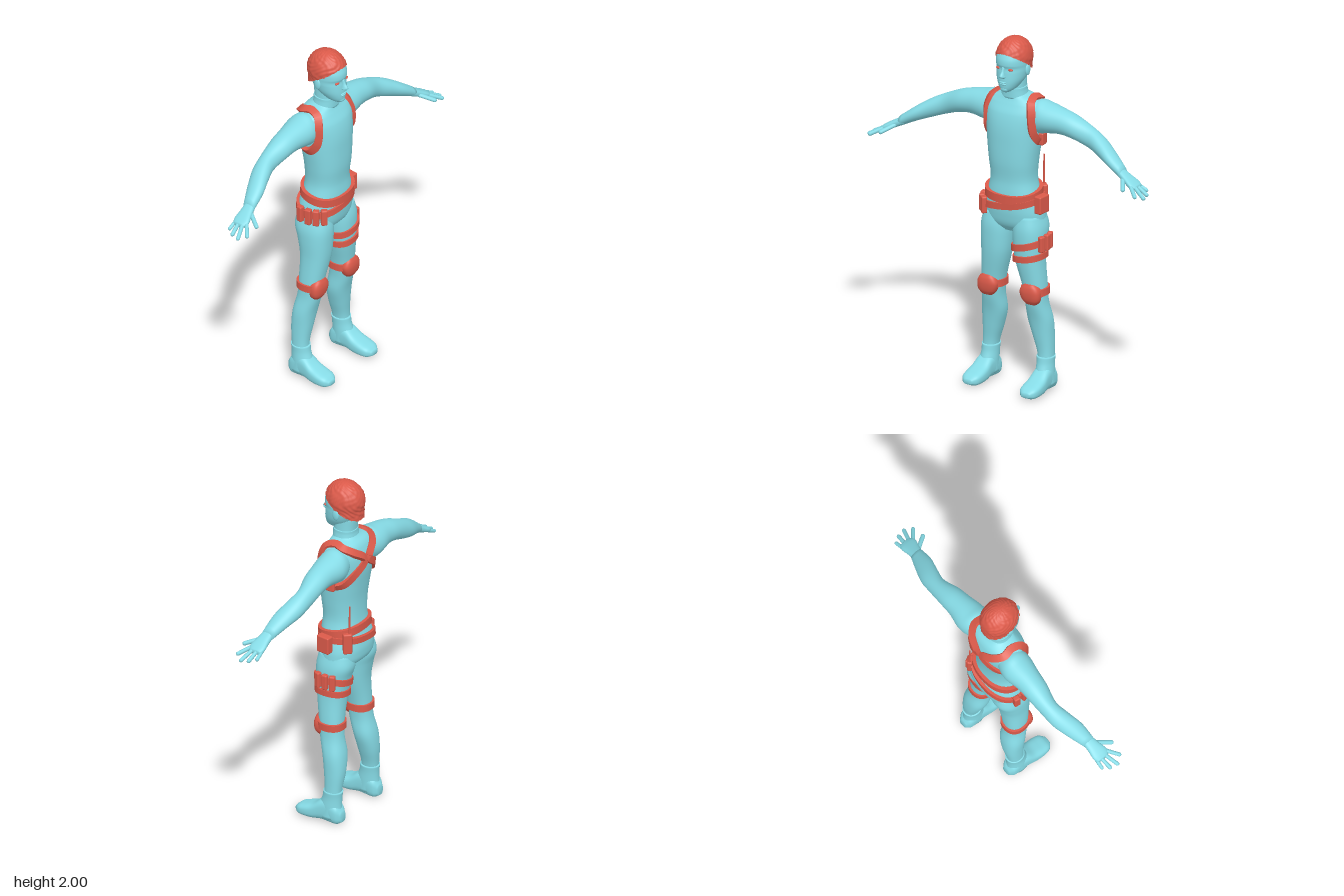
import * as THREE from 'three';
import { toCreasedNormals } from 'three/addons/utils/BufferGeometryUtils.js';
import { RoundedBoxGeometry } from 'three/addons/geometries/RoundedBoxGeometry.js';

const suit = new THREE.MeshStandardMaterial({ color: 0x86dbe6 });
const gear = new THREE.MeshStandardMaterial({ color: 0xdb5a4a });
const rad = THREE.MathUtils.degToRad;
const V = (x, y, z) => new THREE.Vector3(x, y, z);

// Skin a list of rings (arrays of Vector3), either as a loop or with closed ends
function skin(rings, loop) {
  const n = rings[0].length, m = rings.length, pts = rings.flat(), index = [];
  for (let i = 0; i < (loop ? m : m - 1); i++) {
    for (let j = 0; j < n; j++) {
      const k = (j + 1) % n, u = ((i + 1) % m) * n;
      const a = i * n + j, b = i * n + k, c = u + k, d = u + j;
      index.push(a, b, c, a, c, d);
    }
  }
  if (!loop) {
    [0, m - 1].forEach((r) => {
      const c = V(0, 0, 0);
      rings[r].forEach((p) => c.addScaledVector(p, 1 / n));
      const id = pts.push(c) - 1;
      for (let j = 0; j < n; j++) {
        const a = r * n + j, b = r * n + (j + 1) % n;
        index.push(id, ...(r ? [a, b] : [b, a]));
      }
    });
  }
  const g = new THREE.BufferGeometry().setFromPoints(pts);
  g.setIndex(index);
  g.computeVertexNormals();
  return g;
}

// Smoothly interpolated cross-section [t, aMin, aMax, bMin, bMax]
function section(secs, t) {
  let i = 0;
  while (i < secs.length - 2 && t > secs[i + 1][0]) i++;
  const slope = (k, c) => {
    const p = secs[Math.max(k - 1, 0)], q = secs[Math.min(k + 1, secs.length - 1)];
    return (q[c] - p[c]) / (q[0] - p[0]);
  };
  const p = secs[i], q = secs[i + 1], h = q[0] - p[0];
  const s = THREE.MathUtils.clamp((t - p[0]) / h, 0, 1), s2 = s * s, s3 = s2 * s;
  return p.map((v, c) => c === 0 ? t :
    v * (2 * s3 - 3 * s2 + 1) + q[c] * (3 * s2 - 2 * s3) +
    h * (slope(i, c) * (s3 - 2 * s2 + s) + slope(i + 1, c) * (s3 - s2)));
}

// Point on a cross-section; axis 0/1/2 is the direction of t
function onSection(secs, t, ang, axis = 1, pow = 2.3, off = 0) {
  const [, a0, a1, b0, b1] = section(secs, t);
  const f = (v) => Math.sign(v) * Math.abs(v) ** (2 / pow);
  const p = V(0, 0, 0);
  p.setComponent(axis, t);
  p.setComponent((axis + 1) % 3, (b0 + b1) / 2 + ((b1 - b0) / 2 + off) * f(Math.cos(ang)));
  p.setComponent((axis + 2) % 3, (a0 + a1) / 2 + ((a1 - a0) / 2 + off) * f(Math.sin(ang)));
  return p;
}

function loft(secs, axis = 1, pow = 2.3, steps = 5, sides = 36) {
  const rings = [];
  for (let i = 0; i < secs.length - 1; i++) {
    for (let k = 0; k < steps + (i === secs.length - 2 ? 1 : 0); k++) {
      const t = secs[i][0] + (secs[i + 1][0] - secs[i][0]) * k / steps;
      rings.push(Array.from({ length: sides }, (_, j) => onSection(secs, t, j / sides * Math.PI * 2, axis, pow)));
    }
  }
  return skin(rings);
}

// Flat closed strap following points; outward(p) gives the direction it faces
function strap(points, width, thick, outward) {
  const curve = new THREE.CatmullRomCurve3(points, true), rings = [], N = 96;
  for (let i = 0; i < N; i++) {
    const p = curve.getPoint(i / N), T = curve.getTangent(i / N), O = outward(p);
    O.addScaledVector(T, -O.dot(T)).normalize();
    const W = T.clone().cross(O);
    rings.push([[1, -1], [1, 1], [-1, 1], [-1, -1]].map(([o, w]) =>
      p.clone().addScaledVector(O, o > 0 ? thick : -0.012).addScaledVector(W, w * width / 2)));
  }
  return toCreasedNormals(skin(rings, true), 0.7);
}

// Horizontal band around a vertical body part, with height given per angle
function band(secs, height, width, thick) {
  const pts = [];
  for (let d = 0; d < 360; d += 15) pts.push(onSection(secs, height(rad(d)), rad(d)));
  const c = pts.reduce((s, p) => s.addScaledVector(p, 1 / pts.length), V(0, 0, 0));
  return strap(pts, width, thick, (p) => V(p.x - c.x, 0, p.z - c.z));
}

const ball = (x, y, z, rx, ry, rz) => new THREE.SphereGeometry(1, 24, 16).scale(rx, ry, rz).translate(x, y, z);

function finger(a, b, r) {
  const d = b.clone().sub(a), g = new THREE.CapsuleGeometry(r, d.length() - r, 4, 10);
  g.applyQuaternion(new THREE.Quaternion().setFromUnitVectors(V(0, 1, 0), d.normalize()));
  return g.translate((a.x + b.x) / 2, (a.y + b.y) / 2, (a.z + b.z) / 2);
}

function mirror(geo) {
  const g = geo.clone().scale(-1, 1, 1);
  const id = g.index ? Array.from(g.index.array) : Array.from({ length: g.attributes.position.count }, (_, i) => i);
  for (let i = 0; i < id.length; i += 3) [id[i + 1], id[i + 2]] = [id[i + 2], id[i + 1]];
  g.setIndex(id);
  return g;
}

const sym = (rows) => rows.map(([y, hx, zf, zb]) => [y, -hx, hx, zb, zf]);
const offset = (rows) => rows.map(([y, c, hx, zf, zb]) => [y, c - hx, c + hx, zb, zf]);

const TORSO = sym([[0.9, 0.09, 0.04, -0.07], [0.94, 0.165, 0.075, -0.13], [1, 0.175, 0.09, -0.145],
  [1.06, 0.165, 0.095, -0.14], [1.12, 0.147, 0.095, -0.127], [1.2, 0.13, 0.09, -0.118], [1.3, 0.138, 0.1, -0.12],
  [1.4, 0.15, 0.102, -0.133], [1.5, 0.16, 0.1, -0.148], [1.58, 0.17, 0.085, -0.148], [1.63, 0.165, 0.06, -0.133],
  [1.655, 0.13, 0.047, -0.118], [1.675, 0.08, 0.04, -0.095], [1.69, 0.06, 0.035, -0.08]]);
const LEG = offset([[0.1, 0.18, 0.043, 0, -0.1], [0.2, 0.175, 0.043, -0.01, -0.105], [0.3, 0.16, 0.057, 0, -0.115],
  [0.4, 0.146, 0.069, 0.015, -0.11], [0.5, 0.138, 0.06, 0.04, -0.09], [0.6, 0.13, 0.065, 0.052, -0.085],
  [0.75, 0.107, 0.08, 0.075, -0.09], [0.86, 0.102, 0.088, 0.083, -0.11], [0.93, 0.1, 0.088, 0.083, -0.13],
  [1, 0.095, 0.075, 0.07, -0.12]]);
const HEAD = sym([[1.708, 0.02, 0.085, 0.02], [1.725, 0.042, 0.096, -0.02], [1.75, 0.06, 0.1, -0.05],
  [1.78, 0.075, 0.1, -0.08], [1.82, 0.084, 0.097, -0.105], [1.845, 0.086, 0.094, -0.112], [1.865, 0.087, 0.1, -0.115],
  [1.9, 0.086, 0.095, -0.115], [1.95, 0.07, 0.065, -0.09], [1.98, 0.03, 0.02, -0.04]]);
const NECK = sym([[1.63, 0.07, 0.045, -0.09], [1.7, 0.062, 0.042, -0.08], [1.8, 0.06, 0.045, -0.09]]);
const COLLAR = sym([[1.66, 0.075, 0.046, -0.09], [1.7, 0.067, 0.046, -0.084], [1.72, 0.066, 0.046, -0.084]]);
const ARM = [[0.08, -0.11, 0.02, 1.5, 1.63], [0.15, -0.135, 0.035, 1.465, 1.655], [0.2, -0.14, 0.035, 1.475, 1.645],
  [0.28, -0.125, 0.02, 1.485, 1.628], [0.36, -0.12, 0.01, 1.475, 1.605], [0.46, -0.11, -0.01, 1.44, 1.56],
  [0.54, -0.1, 0.01, 1.41, 1.52], [0.62, -0.07, 0.035, 1.38, 1.468], [0.71, -0.028, 0.042, 1.338, 1.4]];
// Loft rows run [x, zMin, zMax, yMin, yMax]; swap into [t, a(z), b(y)] is already met
const PALM = [[0.68, -0.025, 0.035, 1.355, 1.405], [0.74, -0.024, 0.052, 1.325, 1.372],
  [0.79, -0.027, 0.066, 1.305, 1.343], [0.815, -0.015, 0.05, 1.303, 1.325]];
const SHAFT = offset([[0.03, 0.18, 0.05, 0.03, -0.115], [0.1, 0.178, 0.049, 0.02, -0.108],
  [0.15, 0.176, 0.047, 0.004, -0.108], [0.19, 0.175, 0.049, -0.002, -0.112]]);
// Foot rows run [z, yMin, yMax, xMin, xMax]
const FOOT = [[-0.122, 0.015, 0.07, 0.155, 0.2], [-0.095, 0, 0.11, 0.134, 0.222], [-0.04, 0.002, 0.14, 0.13, 0.228],
  [0, 0.006, 0.128, 0.129, 0.232], [0.05, 0, 0.093, 0.126, 0.238], [0.1, 0, 0.074, 0.126, 0.24],
  [0.14, 0.003, 0.06, 0.135, 0.232], [0.165, 0.015, 0.04, 0.16, 0.208]];

// Lumpy short hair with a hairline dropping from forehead to nape
function hairGeometry() {
  const g = new THREE.SphereGeometry(1, 80, 48), p = g.attributes.position;
  for (let i = 0; i < p.count; i++) {
    const v = Math.acos(THREE.MathUtils.clamp(p.getY(i), -1, 1)) / Math.PI;
    const az = Math.atan2(p.getX(i), p.getZ(i)), polar = v * (1.9 - 0.69 * Math.cos(az));
    const r = 1 + 0.025 * Math.sin(13 * az + 3 * Math.sin(polar * 5)) * Math.sin(15 * polar + 2 * Math.sin(4 * az)) * Math.sin(Math.min(polar, 1.57));
    const s = Math.sin(Math.min(polar, 1.9)) * r;
    p.setXYZ(i, 0.096 * s * Math.sin(az), 1.885 + 0.112 * Math.cos(polar) * r, -0.014 + 0.114 * s * Math.cos(az));
  }
  g.computeVertexNormals();
  return g;
}

export function createModel() {
  const model = new THREE.Group(), figure = new THREE.Group();
  figure.name = 'figure';
  figure.rotation.y = Math.PI / 2; // the person looks along +x
  model.add(figure);
  const add = (name, geo, mat = suit) => {
    const m = new THREE.Mesh(geo, mat);
    m.name = name;
    figure.add(m);
    return m;
  };
  const pair = (name, geo, mat) => { add(name, geo, mat); add(name, mirror(geo), mat); };
  // Box-shaped gear sitting on a body part at a given angle
  const pouch = (name, secs, deg, y, w, h, d) => {
    const m = add(name, new RoundedBoxGeometry(w, h, d, 2, 0.008), gear);
    m.position.copy(onSection(secs, y, rad(deg), 1, 2.3, d * 0.45));
    m.rotation.y = rad(deg);
    return m;
  };

  // Body
  add('torso', loft(TORSO));
  add('neck', loft(NECK));
  add('collar', loft(COLLAR));
  pair('leg', loft(LEG));
  pair('arm', loft(ARM, 0, 2));
  pair('bootShaft', loft(SHAFT, 1, 2));
  pair('bootFoot', loft(FOOT, 2, 2.8));

  // Hands
  pair('palm', loft(PALM, 0, 2.4));
  [[0.725, 1.35, 0.035, 0.777, 1.318, 0.115, 0.012], [0.785, 1.325, 0.052, 0.85, 1.29, 0.107, 0.011],
    [0.795, 1.322, 0.035, 0.88, 1.275, 0.066, 0.011], [0.795, 1.32, 0.01, 0.872, 1.28, 0.021, 0.011],
    [0.785, 1.32, -0.014, 0.847, 1.29, -0.017, 0.01]]
    .forEach(([a, b, c, d, e, f, r]) => pair('finger', finger(V(a, b, c), V(d, e, f), r)));

  // Head and face
  add('head', loft(HEAD, 1, 2.1));
  add('nose', loft(sym([[1.79, 0.008, 0.1, 0.08], [1.8, 0.017, 0.121, 0.08], [1.81, 0.014, 0.126, 0.08],
    [1.83, 0.009, 0.111, 0.08], [1.855, 0.008, 0.1, 0.08]]), 1, 2, 4, 16));
  add('upperLip', ball(0, 1.768, 0.098, 0.024, 0.005, 0.008));
  add('lowerLip', ball(0, 1.758, 0.097, 0.02, 0.006, 0.008));
  add('chin', ball(0, 1.727, 0.085, 0.024, 0.016, 0.014));
  pair('eye', ball(0.037, 1.842, 0.083, 0.016, 0.007, 0.009), gear);
  pair('ear', ball(0.087, 1.825, -0.012, 0.01, 0.032, 0.02));
  add('hair', hairGeometry(), gear).material.side = THREE.DoubleSide;

  // Shoulder harness meeting between the shoulder blades
  const loop = [[90, 1.662], [55, 1.645], [52, 1.6], [58, 1.54], [68, 1.48], [90, 1.43], [120, 1.44], [150, 1.5],
    [176, 1.565], [152, 1.625], [120, 1.652]].map(([d, y]) => onSection(TORSO, y, rad(d)));
  pair('harnessStrap', strap(loop, 0.042, 0.014, (p) => p.clone().sub(V(0.04, 1.5, -0.03))), gear);
  pouch('harnessPouch', TORSO, 95, 1.44, 0.05, 0.07, 0.03);

  // Belts, hip pouches, radio
  add('waistBelt', band(TORSO, (a) => 1.122 - 0.022 * Math.cos(a), 0.045, 0.015), gear);
  add('slungBelt', band(TORSO, (a) => 1.065 + 0.03 * Math.sin(a) - 0.008 * Math.cos(a), 0.036, 0.013), gear);
  [-45, -63, -81, -99].forEach((d) => pouch('hipPouch', TORSO, d, 1.03, 0.036, 0.095, 0.032));
  pouch('sidePouch', TORSO, 85, 1.075, 0.08, 0.1, 0.045);
  const radio = pouch('radio', TORSO, 135, 1.085, 0.05, 0.12, 0.03);
  const antenna = new THREE.Mesh(new THREE.CylinderGeometry(0.004, 0.006, 0.17, 10), gear);
  antenna.name = 'radioAntenna';
  antenna.position.set(0.012, 0.14, 0);
  radio.add(antenna);

  // Thigh straps and pouches on one leg only
  add('thighStrap', band(LEG, (a) => 0.835 + 0.025 * Math.sin(a), 0.036, 0.011), gear);
  add('thighStrap', band(LEG, (a) => 0.765 + 0.015 * Math.sin(a), 0.034, 0.011), gear);
  [72, 93, 114].forEach((d) => pouch('thighPouch', LEG, d, 0.855, 0.034, 0.09, 0.03));

  // Knee pads
  pair('kneeStrap', band(LEG, () => 0.572, 0.04, 0.011), gear);
  pair('kneePad', loft([[0.505, 0.105, 0.175, 0, 0.052], [0.53, 0.085, 0.193, 0, 0.066],
    [0.57, 0.073, 0.197, 0, 0.072], [0.6, 0.083, 0.187, 0, 0.068], [0.622, 0.102, 0.165, 0, 0.058]], 1, 2.6), gear);
  return model;
}
